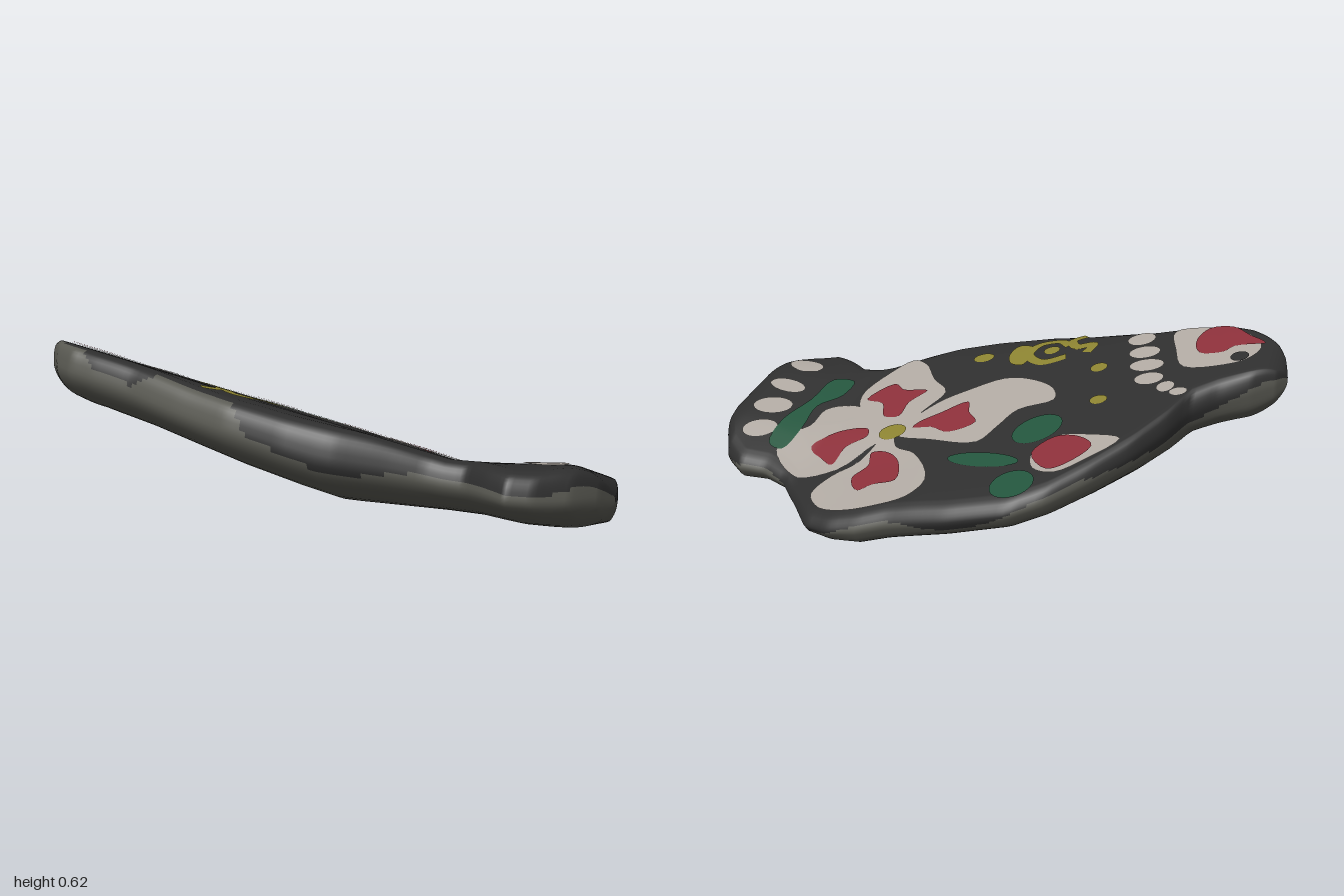
import * as THREE from 'three';
import { mergeVertices } from 'three/addons/utils/BufferGeometryUtils.js';

const mat = (name, color) => {
  const m = new THREE.MeshStandardMaterial({ color });
  m.name = name;
  return m;
};
const lookup = (pts) => {
  const f = new THREE.LinearInterpolant(pts.map((p) => p[0]), pts.map((p) => p[1]), 1, [0]);
  return (x) => f.evaluate(x)[0];
};
const { lerp, clamp, smoothstep } = THREE.MathUtils;

// Plan outline: back and front edges as z over x
const backEdge = lookup([[-1, 0.24], [-0.97, 0.19], [-0.9, 0.14], [-0.8, 0.09], [-0.72, 0.03], [-0.68, -0.07],
  [-0.6, -0.2], [-0.5, -0.32], [-0.4, -0.42], [-0.3, -0.48], [-0.1, -0.51], [0.1, -0.52], [0.2, -0.54], [0.3, -0.545],
  [0.4, -0.52], [0.5, -0.42], [0.6, -0.33], [0.7, -0.3], [0.8, -0.31], [0.88, -0.26], [0.95, -0.16], [0.99, -0.02], [1, 0.05]]);
const frontEdge = lookup([[-1, 0.24], [-0.98, 0.31], [-0.95, 0.36], [-0.85, 0.45], [-0.75, 0.5], [-0.65, 0.5],
  [-0.5, 0.49], [-0.3, 0.515], [-0.1, 0.535], [0.1, 0.52], [0.25, 0.48], [0.4, 0.4], [0.5, 0.35], [0.62, 0.33],
  [0.7, 0.38], [0.78, 0.42], [0.85, 0.38], [0.93, 0.29], [0.98, 0.17], [1, 0.05]]);
// Height on the side above which the dark glaze runs down
const frontGlaze = lookup([[-1, 1], [-0.72, 0.95], [-0.66, 0.7], [-0.5, 0.65], [-0.42, 0.95], [-0.1, 0.95],
  [-0.04, 0.6], [0.1, 0.45], [0.3, 0.4], [0.45, 0.6], [0.85, 0.6], [0.94, 0.75], [1, 0.8]]);
const backGlaze = (x) => 0.6 + 0.2 * Math.sin(x * 11);

// Sloping top: tail curls up, front rim and back right shoulder droop; flat base rises under the tail
const rawTop = (x, z) => 0.343 - 0.15 * x + 0.37 * z
  + 0.28 * Math.max(0, x - 0.55) * (1 - smoothstep(z, 0.15, 0.5))
  - 0.025 * smoothstep(z, 0.36, 0.52) * smoothstep(x, -0.6, -0.2)
  - 0.02 * smoothstep(x, 0, 0.4) * smoothstep(-z, 0.1, 0.3);
const rawBottom = (x, z) => 0.15 - 0.2 * x + 0.25 * z + 0.22 * Math.max(0, x - 0.2);
const height = (x, z, h) => {
  const over = clamp((Math.abs(x) - 0.88) / 0.12, 0, 1);
  const taper = Math.sqrt(1 - over * over);
  return Math.max(0, lerp(rawBottom(x, z), rawTop(x, z), 0.5 + (h - 0.5) * taper));
};
const topY = (x, z) => height(x, z, 1);
const bottomY = (x, z) => height(x, z, 0);

// Side profiles: x = inset from the outline, y = relative height
const profile = (pts) => new THREE.SplineCurve(pts.map((p) => new THREE.Vector2(...p))).getPoints(18);
const frontSide = profile([[0.075, 1], [0.04, 0.94], [0.018, 0.82], [0.004, 0.64], [0, 0.45], [0.035, 0.25], [0.11, 0.08], [0.2, 0]]);
const backSide = profile([[0.05, 1], [0.018, 0.92], [0, 0.7], [0.005, 0.5], [0.03, 0.22], [0.09, 0]]).reverse();

// Body lofted from cross-sections along x
function bodyGeometry() {
  const stations = 140, pos = [], dark = [], grey = [];
  let ring;
  for (let i = 0; i <= stations; i++) {
    const x = -Math.cos((i / stations) * Math.PI);
    const zb = backEdge(x), zf = frontEdge(x);
    const fit = Math.min(1, (zf - zb) / 0.5);
    const span = (from, to, h) => Array.from({ length: 15 }, (_, j) => ({ z: lerp(from, to, (j + 1) / 16), h, side: 0 }));
    const f = frontSide.map((p) => ({ z: zf - p.x * fit, h: p.y, side: 1 }));
    const b = backSide.map((p) => ({ z: zb + p.x * fit, h: p.y, side: -1 }));
    ring = [...span(b.at(-1).z, f[0].z, 1), ...f, ...span(f.at(-1).z, b[0].z, 0), ...b];
    ring.forEach((p) => pos.push(x, height(x, p.z, p.h), p.z));
    if (i === stations) break;
    const n = ring.length;
    for (let k = 0; k < n; k++) {
      const p = ring[k], q = ring[(k + 1) % n];
      const level = p.side + q.side > 0 ? frontGlaze(x) : backGlaze(x);
      const list = (p.h + q.h) / 2 > Math.min(level, 0.99) ? dark : grey;
      const a = i * n + k, c = i * n + ((k + 1) % n);
      list.push(a, c, a + n, c, c + n, a + n);
    }
  }
  const g = new THREE.BufferGeometry();
  g.setAttribute('position', new THREE.Float32BufferAttribute(pos, 3));
  g.setIndex([...dark, ...grey]);
  g.addGroup(0, dark.length, 0);
  g.addGroup(dark.length, grey.length, 1);
  g.computeVertexNormals();
  return g;
}

export function createModel() {
  const group = new THREE.Group();
  const dark = mat('dark glaze', 0x2e2e2e), grey = mat('grey clay', 0x585851);
  const white = mat('white paint', 0xaea7a0), red = mat('red paint', 0x8a2f39);
  const green = mat('green paint', 0x22543c), yellow = mat('yellow paint', 0x8a8130);

  const body = new THREE.Mesh(bodyGeometry(), [dark, grey]);
  body.name = 'fishBody';
  group.add(body);

  // Thin painted face draped over the top, or under the bottom
  const paint = (name, m, pts, lift, under = false) => {
    const flat = new THREE.ShapeGeometry(new THREE.Shape(pts.map(([x, z]) => new THREE.Vector2(x, -z))));
    const pos = [];
    const drape = (a, b, c, depth) => {
      if (depth > 0) {
        const mid = (p, q) => [(p[0] + q[0]) / 2, (p[1] + q[1]) / 2];
        const ab = mid(a, b), bc = mid(b, c), ca = mid(c, a);
        [[a, ab, ca], [ab, b, bc], [ca, bc, c], [ab, bc, ca]].forEach((t) => drape(...t, depth - 1));
      } else {
        (under ? [a, c, b] : [a, b, c]).forEach(([x, z]) =>
          pos.push(x, under ? bottomY(x, z) - lift : topY(x, z) + lift, z));
      }
    };
    const corner = (i) => [flat.attributes.position.getX(i), -flat.attributes.position.getY(i)];
    const ids = flat.index.array;
    for (let i = 0; i < ids.length; i += 3) drape(corner(ids[i]), corner(ids[i + 1]), corner(ids[i + 2]), 2);
    const raw = new THREE.BufferGeometry();
    raw.setAttribute('position', new THREE.Float32BufferAttribute(pos, 3));
    const g = mergeVertices(raw);
    g.computeVertexNormals();
    const mesh = new THREE.Mesh(g, m);
    mesh.name = name;
    group.add(mesh);
  };
  const smooth = (pts) => new THREE.CatmullRomCurve3(pts.map(([x, z]) => new THREE.Vector3(x, 0, z)), true)
    .getPoints(pts.length * 4).slice(0, -1).map((v) => [v.x, v.z]);
  const blob = (name, m, pts, lift) => paint(name, m, smooth(pts), lift);
  const oval = (name, m, x, z, rx, rz, lift = 0.004, turn = 0) =>
    paint(name, m, new THREE.EllipseCurve(x, z, rx, rz, 0, Math.PI * 2, false, turn).getPoints(24).slice(0, -1)
      .map((v) => [v.x, v.y]), lift);
  const stroke = (name, m, pts, w) => {
    const c = new THREE.SplineCurve(pts.map((p) => new THREE.Vector2(...p)));
    const side = (s) => Array.from({ length: 25 }, (_, i) => {
      const p = c.getPoint(i / 24), t = c.getTangent(i / 24);
      return [p.x - t.y * w * s, p.y + t.x * w * s];
    });
    paint(name, m, [...side(1), ...side(-1).reverse()], 0.004);
  };

  // Large flower
  [
    [[0.23, -0.19], [0.14, -0.23], [0.03, -0.37], [0.06, -0.45], [0.17, -0.49], [0.28, -0.5], [0.37, -0.48], [0.44, -0.41], [0.41, -0.32], [0.34, -0.25], [0.29, -0.1]],
    [[0.26, -0.13], [0.12, -0.16], [-0.07, -0.18], [-0.11, -0.1], [-0.15, -0.01], [-0.26, 0.04], [-0.23, 0.11], [-0.12, 0.17], [-0.02, 0.18], [0.09, 0.12], [0.18, 0.05], [0.25, -0.07]],
    [[0.29, -0.13], [0.34, -0.2], [0.41, -0.29], [0.54, -0.33], [0.67, -0.26], [0.7, -0.18], [0.63, -0.1], [0.62, 0], [0.54, 0.05], [0.43, 0], [0.33, -0.07]],
    [[0.27, -0.1], [0.21, 0.02], [0.18, 0.11], [0.27, 0.2], [0.35, 0.3], [0.42, 0.33], [0.49, 0.24], [0.53, 0.13], [0.5, 0.04], [0.41, -0.03], [0.31, -0.1]],
  ].forEach((p) => blob('flowerPetal', white, p, 0.004));
  [
    [[0.25, -0.22], [0.18, -0.27], [0.14, -0.37], [0.22, -0.385], [0.26, -0.41], [0.32, -0.34], [0.29, -0.28], [0.31, -0.22]],
    [[0.2, -0.07], [0.14, -0.02], [0.06, 0.04], [0.03, -0.02], [-0.02, -0.08], [0.06, -0.13], [0.14, -0.1], [0.21, -0.1]],
    [[0.37, -0.14], [0.43, -0.19], [0.44, -0.27], [0.5, -0.24], [0.57, -0.19], [0.53, -0.13], [0.46, -0.1], [0.39, -0.1]],
    [[0.3, -0.03], [0.3, 0.05], [0.26, 0.12], [0.36, 0.13], [0.42, 0.17], [0.49, 0.08], [0.41, 0.05], [0.36, -0.03]],
  ].forEach((p) => blob('petalHeart', red, p, 0.008));
  oval('flowerCentre', yellow, 0.28, -0.12, 0.05, 0.04, 0.008);

  // Bud and leaves
  blob('bud', white, [[-0.56, -0.18], [-0.48, -0.28], [-0.4, -0.34], [-0.32, -0.32], [-0.29, -0.24], [-0.34, -0.16], [-0.45, -0.155]], 0.004);
  blob('budHeart', red, [[-0.48, -0.22], [-0.42, -0.31], [-0.37, -0.33], [-0.29, -0.25], [-0.34, -0.17], [-0.42, -0.17]], 0.008);
  oval('leaf', green, -0.28, -0.395, 0.07, 0.065);
  oval('leaf', green, -0.13, -0.275, 0.13, 0.035, 0.004, 0.1);
  oval('leaf', green, -0.26, -0.12, 0.085, 0.07, 0.004, -0.7);

  // Tail band and rays
  blob('tailBand', green, [[0.67, -0.23], [0.73, -0.22], [0.74, -0.1], [0.7, 0.03], [0.68, 0.16], [0.6, 0.18], [0.6, 0.09], [0.66, 0], [0.65, -0.12]], 0.006);
  [[0.8, -0.17, 0.065, 0.04, -0.4], [0.82, -0.05, 0.075, 0.045, -0.3], [0.83, 0.07, 0.075, 0.035, 0], [0.83, 0.21, 0.07, 0.045, 0]]
    .forEach(([x, z, a, b, t]) => oval('tailRay', white, x, z, a, b, 0.005, t));

  // Gill marks
  [[-0.68, 0.06, 0.03, 0.022], [-0.63, 0.09, 0.03, 0.03], [-0.56, 0.14, 0.05, 0.035], [-0.53, 0.22, 0.06, 0.036],
    [-0.5, 0.3, 0.055, 0.037], [-0.465, 0.385, 0.05, 0.04]].forEach((p) => oval('gillMark', white, ...p));

  // Face and eye
  blob('face', white, [[-0.9, 0.29], [-0.87, 0.23], [-0.8, 0.2], [-0.66, 0.2], [-0.61, 0.3], [-0.58, 0.42], [-0.7, 0.43], [-0.85, 0.37]], 0.004);
  blob('cheek', red, [[-0.91, 0.31], [-0.85, 0.36], [-0.78, 0.42], [-0.7, 0.42], [-0.67, 0.35], [-0.7, 0.27], [-0.78, 0.27], [-0.81, 0.3]], 0.008);
  oval('eye', dark, -0.84, 0.235, 0.03, 0.027, 0.009);

  // Yellow dots and scrolls
  [[-0.42, 0.03, 0.03, 0.025], [-0.36, 0.22, 0.03, 0.027], [0.12, 0.32, 0.04, 0.028], [-0.14, 0.345, 0.03, 0.025]]
    .forEach((p) => oval('dot', yellow, ...p));
  stroke('scroll', yellow, [[-0.28, 0.32], [-0.29, 0.37], [-0.23, 0.36], [-0.2, 0.41], [-0.24, 0.45]], 0.018);
  stroke('scroll', yellow, [[-0.21, 0.3], [-0.13, 0.27], [-0.06, 0.32], [-0.08, 0.39], [-0.15, 0.41], [-0.2, 0.37]], 0.018);
  blob('scrollEnd', yellow, [[-0.06, 0.26], [-0.01, 0.27], [0.02, 0.33], [0, 0.39], [-0.06, 0.37]], 0.005);

  // Painted patch on the underside
  paint('undersidePatch', white, [[-0.52, 0.08], [-0.4, 0.28], [-0.3, 0.31], [0.23, 0.29], [0.1, 0], [-0.03, -0.25]], 0.003, true);
  paint('undersideDark', dark, smooth([[-0.44, 0.17], [-0.3, 0.28], [-0.03, 0.28], [0.07, 0.23], [0.02, 0.1], [-0.15, 0.04]]), 0.006, true);
  paint('undersideGreen', green, smooth([[-0.34, 0.2], [-0.2, 0.27], [-0.06, 0.25], [-0.14, 0.16], [-0.25, 0.12]]), 0.009, true);
  paint('undersideRed', red, smooth([[-0.42, 0.18], [-0.35, 0.25], [-0.35, 0.15]]), 0.009, true);
  return group;
}
